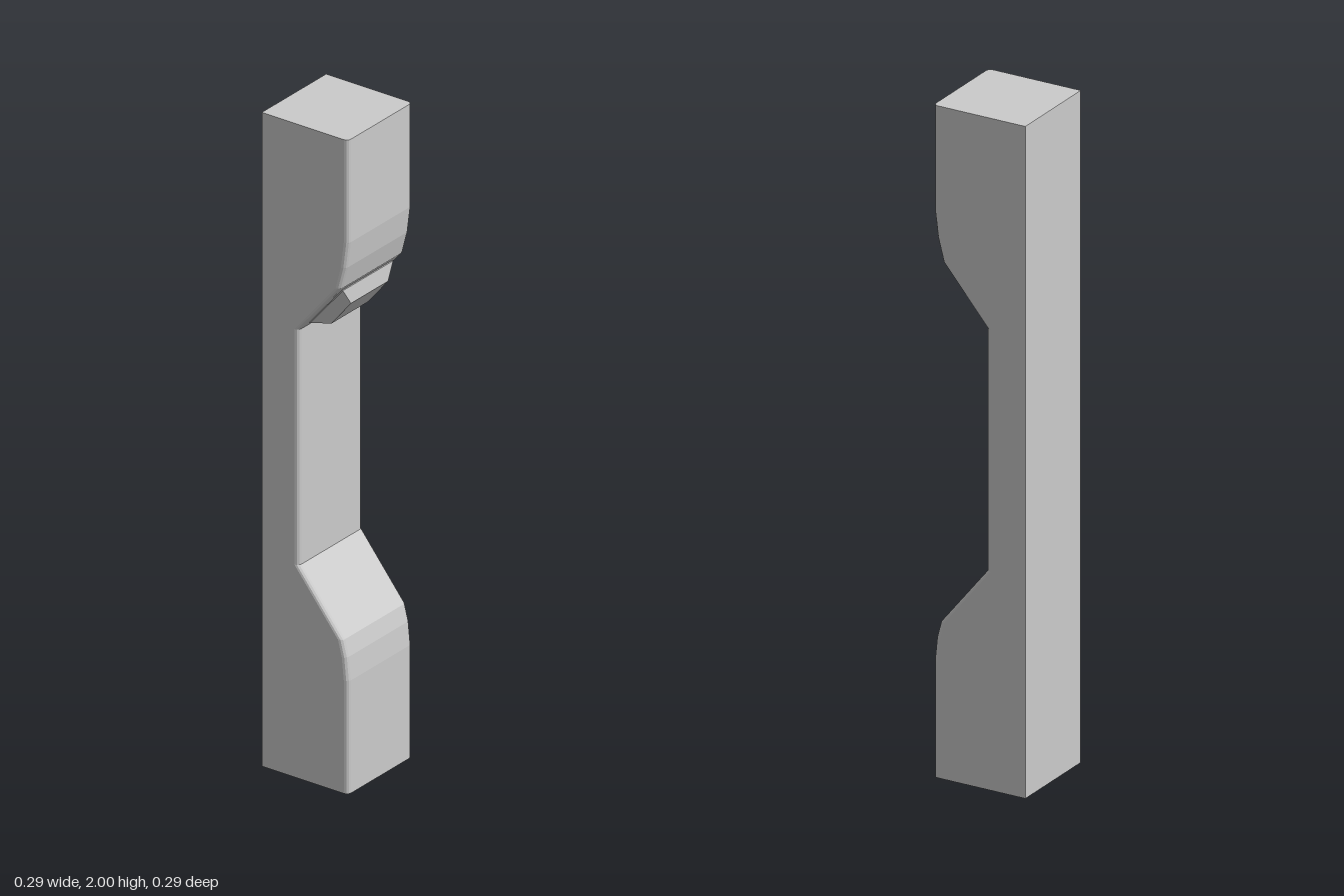
import * as THREE from 'three';
import { ConvexGeometry } from 'three/addons/geometries/ConvexGeometry.js';

const HALF = 0.147; // half the width and depth of the post
const R = 0.014; // rounding of the two front vertical edges

// Front outline as [height, front z], bottom to top
const PROFILE = [
  [0, HALF], [0.345, HALF], [0.415, 0.14], [0.465, 0.127], [0.65, -0.022],
  [1.37, -0.022], [1.537, 0.119], [1.605, 0.137], [1.685, HALF], [2, HALF],
];

// Horizontal cross-section: square back, rounded front corners
function section([y, front]) {
  const ring = [[HALF, -HALF], [-HALF, -HALF]];
  const steps = 3;
  for (const side of [-1, 1]) {
    for (let i = 0; i <= steps; i++) {
      const t = (side < 0 ? i : steps - i) / steps * Math.PI / 2;
      ring.push([side * (HALF - R + R * Math.cos(t)), front - R + R * Math.sin(t)]);
    }
  }
  return ring.map(([x, z]) => [x, y, z]);
}

// Joins the cross-sections and closes both ends
function loft(rings) {
  const n = rings[0].length;
  const index = [];
  for (let r = 0; r < rings.length - 1; r++) {
    for (let i = 0; i < n; i++) {
      const a = r * n + i, b = r * n + (i + 1) % n;
      index.push(a, a + n, b, b, a + n, b + n);
    }
  }
  const top = (rings.length - 1) * n;
  for (let i = 1; i < n - 1; i++) {
    index.push(0, i, i + 1, top, top + i + 1, top + i);
  }
  // Outward winding check from the ring direction (signed area in x, z)
  const geometry = new THREE.BufferGeometry();
  geometry.setAttribute('position', new THREE.Float32BufferAttribute(rings.flat(2), 3));
  let area = 0;
  rings[0].forEach(([x, , z], i) => {
    const [x2, , z2] = rings[0][(i + 1) % n];
    area += x * z2 - x2 * z;
  });
  if (area > 0 !== true) {
    for (let i = 0; i < index.length; i += 3) [index[i], index[i + 1]] = [index[i + 1], index[i]];
  }
  geometry.setIndex(index);
  const flat = geometry.toNonIndexed();
  flat.computeVertexNormals();
  return flat;
}

export function createModel() {
  const model = new THREE.Group();
  const material = new THREE.MeshStandardMaterial({ color: 0xcccccc, flatShading: true });

  // Post with the recessed middle
  const post = new THREE.Mesh(loft(PROFILE.map(section)), material);
  post.name = 'post';
  model.add(post);

  // Bevelled block on the upper slope, its base sunk slightly into the post
  const corners = [];
  for (const side of [-1, 1]) {
    for (const [x, y, z] of [
      [0.115, 1.517, 0.097], [0.115, 1.386, -0.014],
      [0.115, 1.517, 0.106], [0.115, 1.386, -0.005],
      [0.085, 1.468, 0.111], [0.085, 1.386, 0.044],
    ]) corners.push(new THREE.Vector3(side * x, y, z));
  }
  const block = new THREE.Mesh(new ConvexGeometry(corners), material);
  block.name = 'slopeBlock';
  model.add(block);

  return model;
}
